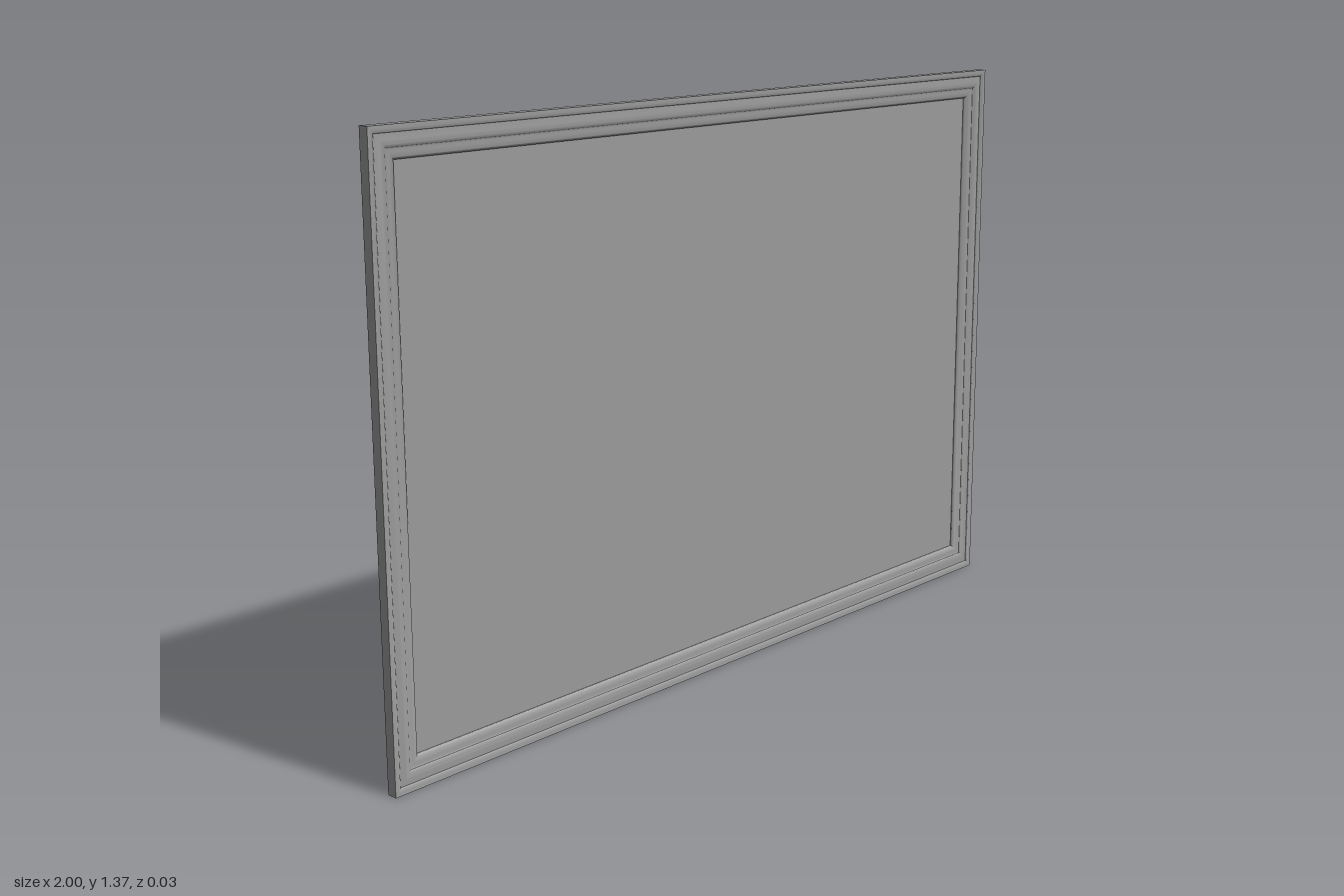
import * as THREE from 'three';
import { toCreasedNormals } from 'three/addons/utils/BufferGeometryUtils.js';

const WIDTH = 2, HEIGHT = 1.365, HALF_DEPTH = 0.0125, BORDER = 0.07;

// Sweeps a closed moulding section [inset from the outer edge, z] round a mitred rectangle.
function mitredFrame(section) {
  const corners = [[-1, -1], [1, -1], [1, 1], [-1, 1]];
  const point = ([inset, z], [sx, sy]) =>
    [sx * (WIDTH / 2 - inset), HEIGHT / 2 + sy * (HEIGHT / 2 - inset), z];
  const positions = [];
  for (let i = 0; i < section.length; i++) {
    const p = section[i], q = section[(i + 1) % section.length];
    for (let c = 0; c < 4; c++) {
      const from = corners[c], to = corners[(c + 1) % 4];
      const a = point(p, from), b = point(p, to), d = point(q, from), e = point(q, to);
      positions.push(...a, ...b, ...e, ...a, ...e, ...d);
    }
  }
  const geometry = new THREE.BufferGeometry();
  geometry.setAttribute('position', new THREE.Float32BufferAttribute(positions, 3));
  return toCreasedNormals(geometry, 0.6);
}

// Quarter of an ellipse across the section, from its crest down to its inner edge.
function quarterRound(cx, cz, rx, rz, steps = 8) {
  return Array.from({ length: steps + 1 }, (_, i) => {
    const a = (Math.PI / 2) * (1 - i / steps);
    return [cx + rx * Math.cos(a), cz + rz * Math.sin(a)];
  });
}

export function createModel() {
  const group = new THREE.Group();
  group.name = 'framedPanel';
  const material = new THREE.MeshStandardMaterial({ color: 0x9b9b9b });

  // Square outer lip, then three rounded steps down to the panel
  const section = [
    [0, -HALF_DEPTH],
    [0, HALF_DEPTH],
    ...quarterRound(0.004, 0.0075, 0.012, 0.005),
    [0.019, 0.0075],
    ...quarterRound(0.03, 0.005, 0.015, 0.005),
    [0.048, 0.004],
    ...quarterRound(0.05, -0.004, BORDER - 0.05, 0.008),
    [BORDER, -HALF_DEPTH],
  ];
  const frame = new THREE.Mesh(mitredFrame(section), material);
  frame.name = 'frameMoulding';
  group.add(frame);

  // Flat panel, slightly recessed from the back of the frame
  const lap = 0.002;
  const panel = new THREE.Mesh(
    new THREE.BoxGeometry(WIDTH - 2 * (BORDER - lap), HEIGHT - 2 * (BORDER - lap), 0.005),
    material,
  );
  panel.name = 'panel';
  panel.position.set(0, HEIGHT / 2, -0.0085);
  group.add(panel);

  return group;
}
